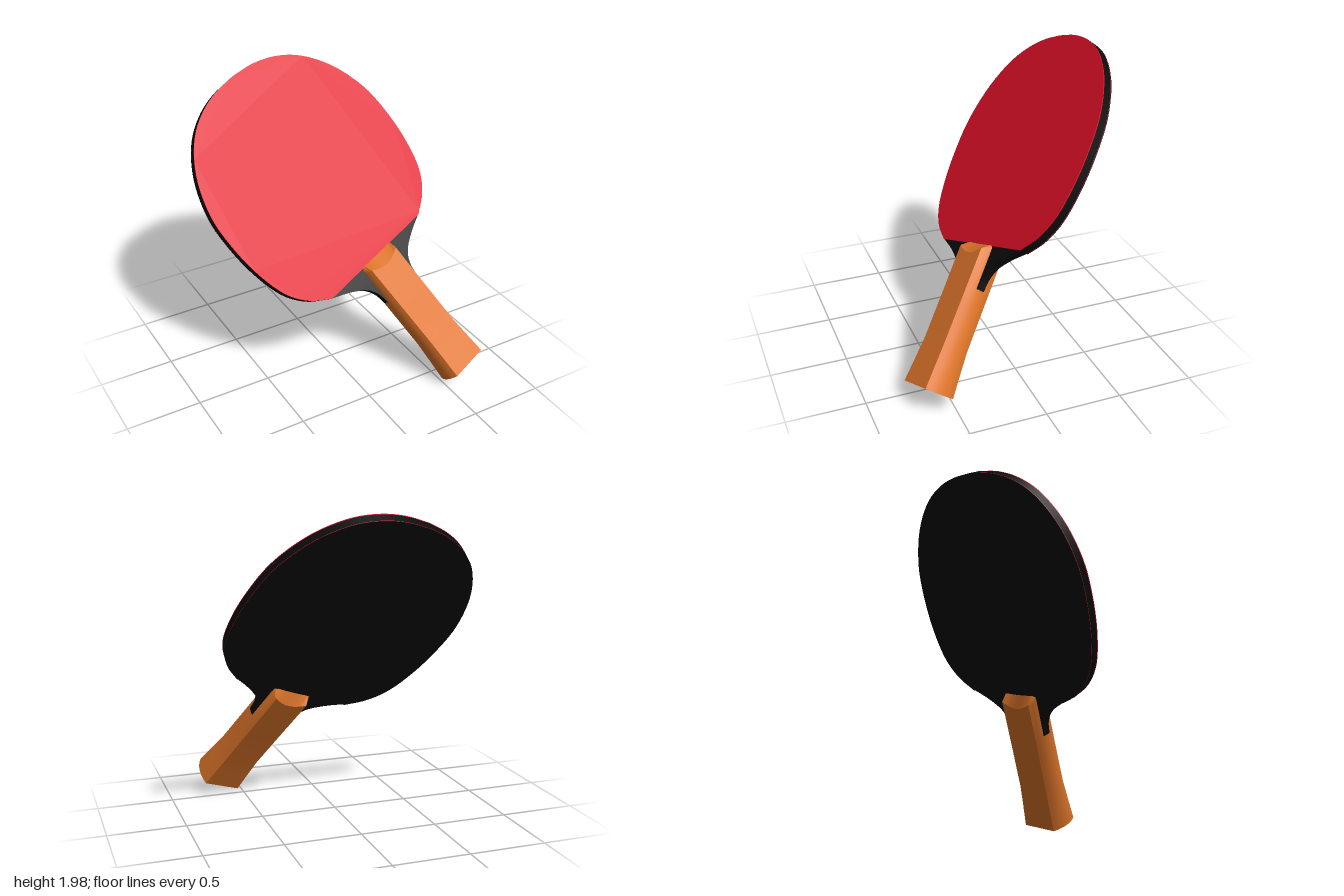
import * as THREE from 'three';
import { toCreasedNormals } from 'three/addons/utils/BufferGeometryUtils.js';

const mat = (color) => new THREE.MeshStandardMaterial({ color });
const WOOD = mat(0xe0762a), RED = mat(0xe01028), BLACK = mat(0x0b0b0b);

// Right half of the head, from the straight rubber edge up to the crown
const HEAD = [
  [0.435, 0.812], [0.56, 0.9], [0.655, 1.03], [0.715, 1.25], [0.732, 1.5], [0.712, 1.71],
  [0.618, 1.955], [0.47, 2.14], [0.32, 2.235], [0.165, 2.283], [0, 2.298],
];
// Right half of the neck, from the handle side up to the rubber edge
const NECK = [[0.147, 0.53], [0.16, 0.61], [0.205, 0.685], [0.31, 0.755], [0.435, 0.812]];

const smooth = (pts, n) =>
  new THREE.CatmullRomCurve3(pts.map(([x, y]) => new THREE.Vector3(x, y, 0)), false, 'centripetal')
    .getPoints(n).map((p) => new THREE.Vector2(p.x, p.y));

// Mirrors a right half outline into a closed shape
function mirrored(right) {
  const left = right.slice(0, -1).reverse().map((p) => new THREE.Vector2(-p.x, p.y));
  return new THREE.Shape([...right, ...left]);
}

// Flat sheet between two depths
function sheet(name, shape, back, front, material) {
  const geo = new THREE.ExtrudeGeometry(shape, { depth: front - back, bevelEnabled: false });
  geo.translate(0, 0, back);
  const mesh = new THREE.Mesh(toCreasedNormals(geo, 0.5), material);
  mesh.name = name;
  return mesh;
}

// Section of the grip: flat front and back, bulging sides (counter-clockwise from above)
function section(w, t, bulge) {
  const pts = [], N = 8;
  for (const s of [1, -1]) {
    for (let i = 0; i < N; i++) pts.push([s * w * (-1 + (2 * i) / N), s * t, 'face']);
    for (let i = 0; i < N; i++) {
      const k = 1 - (2 * i) / N;
      pts.push([s * (w + bulge * (1 - k * k)), s * t * k, 'side']);
    }
  }
  return pts;
}

function handle() {
  const rings = [
    [-0.14, 0.13, 0.106, 0.028], [0, 0.123, 0.098, 0.027], [0.15, 0.117, 0.09, 0.025],
    [0.45, 0.118, 0.088, 0.025],
  ].map(([b, w, t, g]) => section(w, t, g).map(([x, z]) => [x, b, z]));
  // Scooped upper end: the faces stop in an arc, then slope down to the blade
  const end = section(0.12, 0.087, 0.025);
  rings.push(end.map(([x, z, kind]) =>
    [x, kind === 'face' ? 0.775 - 0.04 * (1 - (x / 0.12) ** 2) : 0.775, z]));
  rings.push(end.map(([x, z]) => [x, 0.82, z * 0.33]));

  const n = end.length, pos = rings.flat(2), index = [];
  for (let r = 0; r < rings.length - 1; r++)
    for (let i = 0; i < n; i++) {
      const a = r * n + i, b = r * n + ((i + 1) % n);
      index.push(a, b, b + n, a, b + n, a + n);
    }
  // End caps
  const bottom = pos.length / 3, top = bottom + 1, last = (rings.length - 1) * n;
  pos.push(0, -0.14, 0, 0, 0.82, 0);
  for (let i = 0; i < n; i++) {
    const j = (i + 1) % n;
    index.push(bottom, j, i, top, last + i, last + j);
  }
  const geo = new THREE.BufferGeometry();
  geo.setAttribute('position', new THREE.Float32BufferAttribute(pos, 3));
  geo.setIndex(index);
  const mesh = new THREE.Mesh(toCreasedNormals(geo, 0.42), WOOD);
  mesh.name = 'handle';
  return mesh;
}

export function createModel() {
  const head = smooth(HEAD, 48);
  const rubber = mirrored(head);
  const blade = mirrored([...smooth(NECK, 20), ...head.slice(1)]);

  const paddle = new THREE.Group();
  paddle.name = 'paddle';
  paddle.add(
    sheet('blade', blade, -0.027, 0.027, BLACK),
    sheet('frontRubber', rubber, 0.027, 0.033, RED),
    sheet('backSponge', rubber, -0.03, -0.027, RED),
    sheet('backRubber', rubber, -0.034, -0.03, BLACK),
    handle(),
  );
  // Leaning back and rolled to one side
  paddle.rotation.set(THREE.MathUtils.degToRad(-36), 0, THREE.MathUtils.degToRad(24));
  paddle.position.set(0.586, 0.211, 0.5615);

  const model = new THREE.Group();
  model.name = 'tableTennisPaddle';
  model.add(paddle);
  return model;
}
